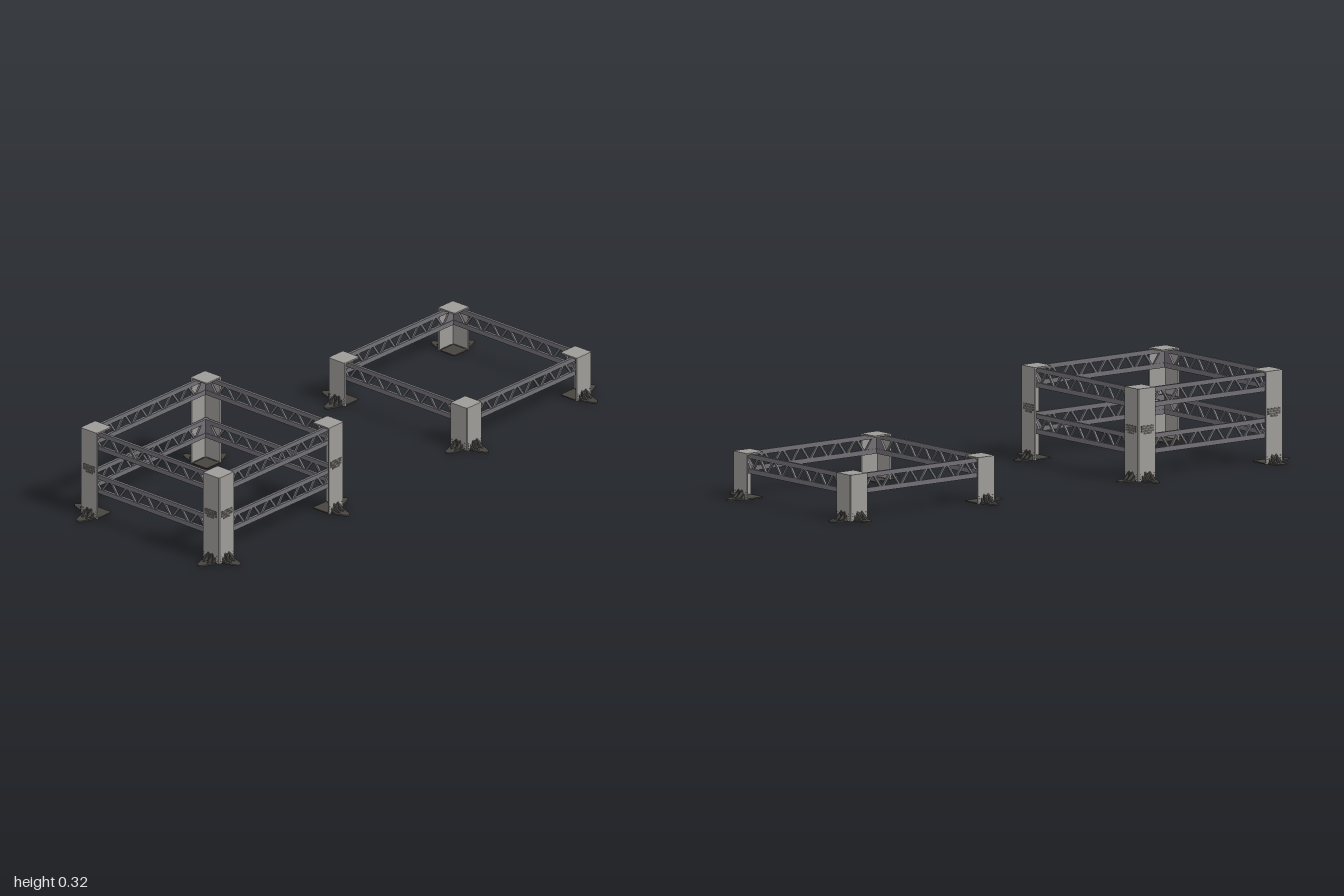
import * as THREE from 'three';

const HALF = 0.3145;   // half width of one frame over its posts
const POST = 0.074;    // post width
const WALL = 0.006;    // post wall thickness
const TIER = 0.159;    // height of one stacked tier
const MID = 0.275;     // centre line of the feet and joint grilles
const RAIL = 0.292;    // distance of the trusses from the frame centre

const postGrey = new THREE.MeshStandardMaterial({ color: 0x9e9c98 });
postGrey.name = 'post grey';
const trussGrey = new THREE.MeshStandardMaterial({ color: 0x727075 });
trussGrey.name = 'truss grey';
const footDark = new THREE.MeshStandardMaterial({ color: 0x484541 });
footDark.name = 'foot dark';
const grilleGrey = new THREE.MeshStandardMaterial({ color: 0x5f5d5b });
grilleGrey.name = 'grille grey';

function add(parent, name, geometry, material, x = 0, y = 0, z = 0) {
  const mesh = new THREE.Mesh(geometry, material);
  mesh.name = name;
  mesh.position.set(x, y, z);
  parent.add(mesh);
  return mesh;
}

function polygon(points) {
  return new THREE.Shape(points.map(([x, y]) => new THREE.Vector2(x, y)));
}

function extrude(shape, depth) {
  return new THREE.ExtrudeGeometry(shape, { depth, bevelEnabled: false, curveSegments: 6 });
}

// Horizontal slab whose outline is given in x and z, from y = 0 up to the height
function slab(shape, height) {
  return extrude(shape, height).rotateX(Math.PI / 2).translate(0, height, 0);
}

// Lattice truss spanning x, with flat chords and a zigzag web
function makeTruss(y) {
  const truss = new THREE.Group();
  truss.name = 'truss';
  const web = polygon([[-0.3, 0.09], [0.3, 0.09], [0.3, 0.153], [-0.3, 0.153]]);
  for (let i = -6; i <= 6; i++) {
    const x = i * 0.04;
    const up = i % 2 !== 0;
    const low = up ? 0.028 : 0.003;
    const high = up ? 0.003 : 0.028;
    web.holes.push(polygon([[x - low, 0.105], [x - high, 0.14], [x + high, 0.14], [x + low, 0.105]]));
  }
  add(truss, 'trussWeb', extrude(web, 0.007), trussGrey, 0, 0, -0.0035);
  add(truss, 'lowerChord', new THREE.BoxGeometry(0.6, 0.017, 0.01), trussGrey, 0, 0.0965, 0);
  add(truss, 'upperChord', new THREE.BoxGeometry(0.6, 0.016, 0.01), trussGrey, 0, 0.148, 0);
  truss.position.set(0, y, RAIL);
  return truss;
}

// Tapered foot pointing along +z from the post face
function makeFoot() {
  const foot = new THREE.Group();
  foot.name = 'foot';
  const sole = new THREE.Shape();
  sole.moveTo(-0.026, -0.01);
  sole.lineTo(0.026, -0.01);
  sole.lineTo(0.024, 0.018);
  sole.lineTo(0.013, 0.048);
  sole.quadraticCurveTo(0.009, 0.06, 0, 0.06);
  sole.quadraticCurveTo(-0.009, 0.06, -0.013, 0.048);
  sole.lineTo(-0.024, 0.018);
  add(foot, 'footSole', slab(sole, 0.005), footDark);
  // Triangular stiffening fins
  for (const [x, h, d] of [[-0.02, 0.02, 0.019], [-0.009, 0.032, 0.03], [0.009, 0.032, 0.03], [0.02, 0.02, 0.019]]) {
    const fin = extrude(polygon([[0, 0.003], [d, 0.003], [0, h]]), 0.005);
    fin.rotateY(-Math.PI / 2);
    add(foot, 'footFin', fin, footDark, x + 0.0025);
  }
  add(foot, 'footBackPlate', new THREE.BoxGeometry(0.026, 0.028, 0.006), footDark, 0, 0.014, 0.002);
  return foot;
}

// Joint grille: four dark slats on a post face looking along +z
function makeGrille(y) {
  const grille = new THREE.Group();
  grille.name = 'jointGrille';
  for (let i = 0; i < 4; i++) {
    const width = i === 0 ? 0.034 : 0.054;
    add(grille, 'grilleSlat', new THREE.BoxGeometry(width, 0.006, 0.002), grilleGrey, 0, 0.005 + i * 0.008, 0);
  }
  grille.position.set(0, y, 0);
  return grille;
}

// Angle post at the +x +z corner, open to the inside, with cap, base and two feet
function makeCorner(tiers) {
  const corner = new THREE.Group();
  corner.name = 'cornerPost';
  const height = tiers * TIER;
  const a = HALF - POST, b = HALF, c = HALF - WALL, e = 0.003;
  const angle = polygon([[a, c], [c, c], [c, a], [b, a], [b, b - e], [b - e, b], [a, b]]);
  add(corner, 'postWalls', slab(angle, height), postGrey);

  const square = polygon([[a + e, a], [b - e, a], [b, a + e], [b, b - e], [b - e, b], [a + e, b], [a, b - e], [a, a + e]]);
  add(corner, 'postCap', slab(square, 0.005), postGrey, 0, height - 0.0045, 0);
  add(corner, 'postBase', slab(square, 0.004), footDark);

  for (const side of [0, 1]) {
    const face = new THREE.Group();
    face.name = 'postFace';
    const foot = makeFoot();
    foot.position.set(0, 0, HALF);
    face.add(foot);
    for (let t = 1; t < tiers; t++) {
      const grille = makeGrille(t * TIER);
      grille.position.z = HALF;
      face.add(grille);
    }
    // Short slits beside the foot
    for (const s of [-1, 1]) {
      for (let i = 0; i < 3; i++) {
        add(face, 'baseSlit', new THREE.BoxGeometry(0.006, 0.003, 0.001), grilleGrey, s * 0.03, 0.008 + i * 0.009, HALF);
      }
    }
    // The second face is the first one turned to look along +x
    face.rotation.y = side * Math.PI / 2;
    face.position.set(side ? 0 : MID, 0, side ? MID : 0);
    corner.add(face);
  }
  return corner;
}

// Square frame of four corner posts and one ring of trusses per tier
function makeFrame(name, tiers) {
  const frame = new THREE.Group();
  frame.name = name;
  for (let i = 0; i < 4; i++) {
    const quarter = new THREE.Group();
    quarter.name = 'frameSide';
    quarter.add(makeCorner(tiers));
    for (let t = 0; t < tiers; t++) quarter.add(makeTruss(t * TIER));
    quarter.rotation.y = i * Math.PI / 2;
    frame.add(quarter);
  }
  return frame;
}

export function createModel() {
  const model = new THREE.Group();
  model.name = 'trussFrames';
  const tall = makeFrame('tallFrame', 2);
  tall.position.z = 0.6255;
  const low = makeFrame('lowFrame', 1);
  low.position.z = -0.6255;
  model.add(tall, low);
  return model;
}
